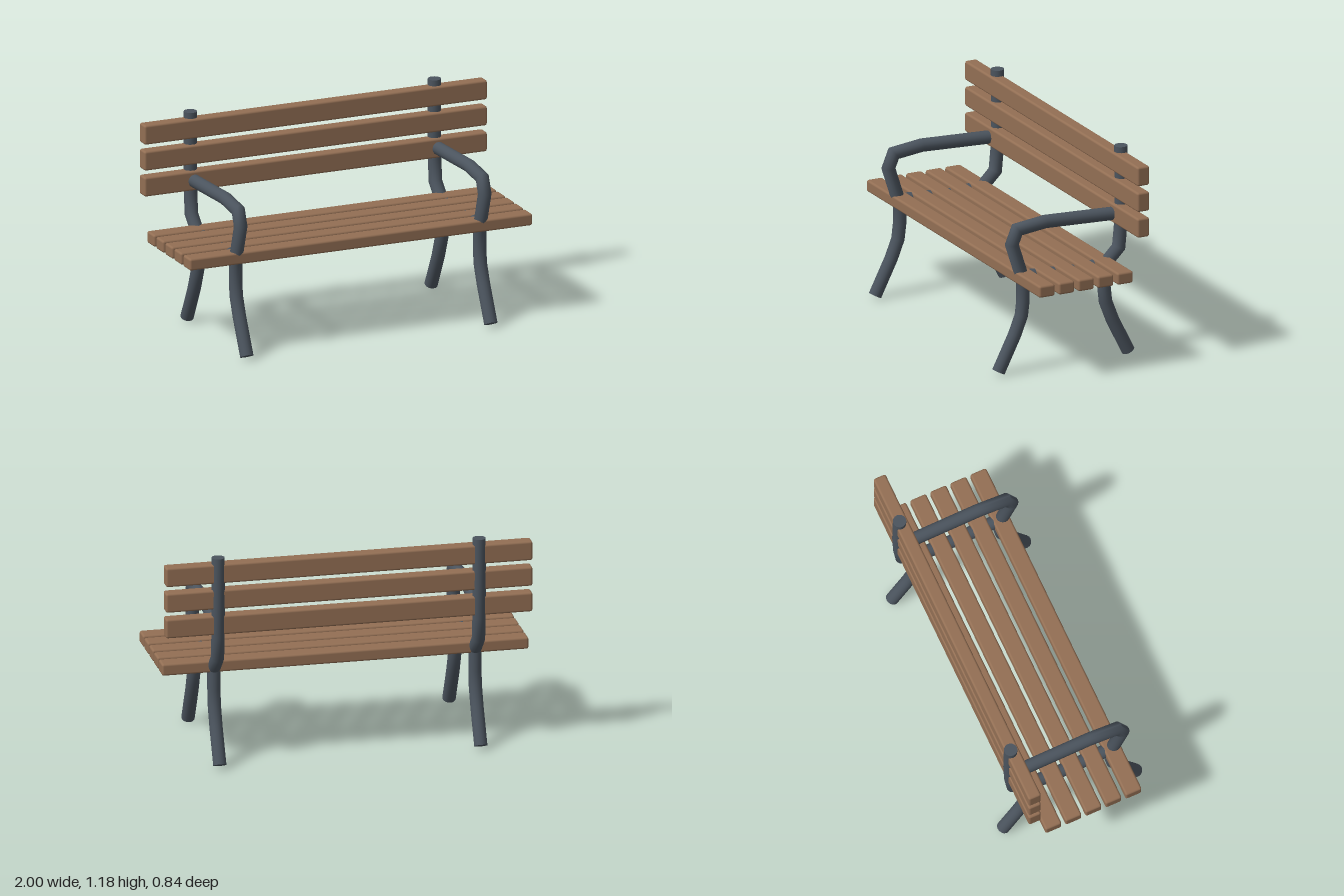
import * as THREE from 'three';
import { toCreasedNormals } from 'three/addons/utils/BufferGeometryUtils.js';
import { RoundedBoxGeometry } from 'three/addons/geometries/RoundedBoxGeometry.js';

const R = 0.036, SIDES = 16;

// Round pipe with mitred bends along [z, y] points, capped at both ends
function pipe(path) {
  const pts = path.map(([z, y]) => new THREE.Vector3(0, y, z));
  const dirs = pts.slice(1).map((p, i) => p.clone().sub(pts[i]).normalize());
  const pos = [], index = [];
  pts.forEach((p, i) => {
    const a = dirs[Math.max(i - 1, 0)], b = dirs[Math.min(i, dirs.length - 1)];
    const t = a.clone().add(b).normalize();
    const stretch = R / t.dot(a);
    for (let k = 0; k < SIDES; k++) {
      const ang = (k / SIDES) * Math.PI * 2;
      const s = Math.sin(ang) * stretch;
      pos.push(Math.cos(ang) * R, p.y + t.z * s, p.z - t.y * s);
    }
  });
  const last = (pts.length - 1) * SIDES, c0 = pts.length * SIDES;
  for (const p of [pts[0], pts[pts.length - 1]]) pos.push(p.x, p.y, p.z);
  for (let k = 0; k < SIDES; k++) {
    const n = (k + 1) % SIDES;
    for (let o = 0; o < last; o += SIDES) {
      index.push(o + k, o + n, o + SIDES + n, o + k, o + SIDES + n, o + SIDES + k);
    }
    index.push(c0, n, k, c0 + 1, last + k, last + n);
  }
  const g = new THREE.BufferGeometry();
  g.setAttribute('position', new THREE.Float32BufferAttribute(pos, 3));
  g.setIndex(index);
  return toCreasedNormals(g, 1.1);
}

export function createModel() {
  const metal = new THREE.MeshStandardMaterial({ color: 0x4b545e });
  metal.name = 'slate metal';
  const wood = new THREE.MeshStandardMaterial({ color: 0x936f54 });
  wood.name = 'brown wood';

  const bench = new THREE.Group();
  bench.name = 'bench';
  const add = (parent, name, geometry, material, x, y, z) => {
    const mesh = new THREE.Mesh(geometry, material);
    mesh.name = name;
    mesh.position.set(x, y, z);
    parent.add(mesh);
  };

  // Pipe frames, one on each side
  const pipes = {
    frontLegAndArmrest: pipe([[0.391, 0.016], [0.294, 0.21], [0.254, 0.312], [0.244, 0.395],
      [0.244, 0.51], [0.311, 0.718], [0.279, 0.797], [0.112, 0.817], [-0.288, 0.8]]),
    backLeg: pipe([[-0.387, 0.016], [-0.294, 0.2], [-0.251, 0.312], [-0.242, 0.395], [-0.242, 0.525]]),
    backPost: pipe([[-0.235, 0.51], [-0.33, 0.605], [-0.342, 0.73], [-0.347, 0.92], [-0.343, 1.175]]),
    seatRail: pipe([[0.244, 0.53], [-0.1, 0.51], [-0.25, 0.531]]),
  };
  for (const [side, x] of [['left', 0.712], ['right', -0.712]]) {
    const frame = new THREE.Group();
    frame.name = side + 'Frame';
    for (const [name, geometry] of Object.entries(pipes)) add(frame, name, geometry, metal, x, 0, 0);
    bench.add(frame);
  }

  // Seat slats
  const seatSlat = new RoundedBoxGeometry(2, 0.066, 0.094, 2, 0.012);
  for (let i = 0; i < 5; i++) add(bench, 'seatSlat', seatSlat, wood, 0, 0.532, 0.247 - i * 0.1173);

  // Backrest slats
  const backSlat = new RoundedBoxGeometry(2, 0.108, 0.072, 2, 0.012);
  for (let i = 0; i < 3; i++) add(bench, 'backSlat', backSlat, wood, 0, 0.798 + i * 0.1447, -0.331);

  return bench;
}
